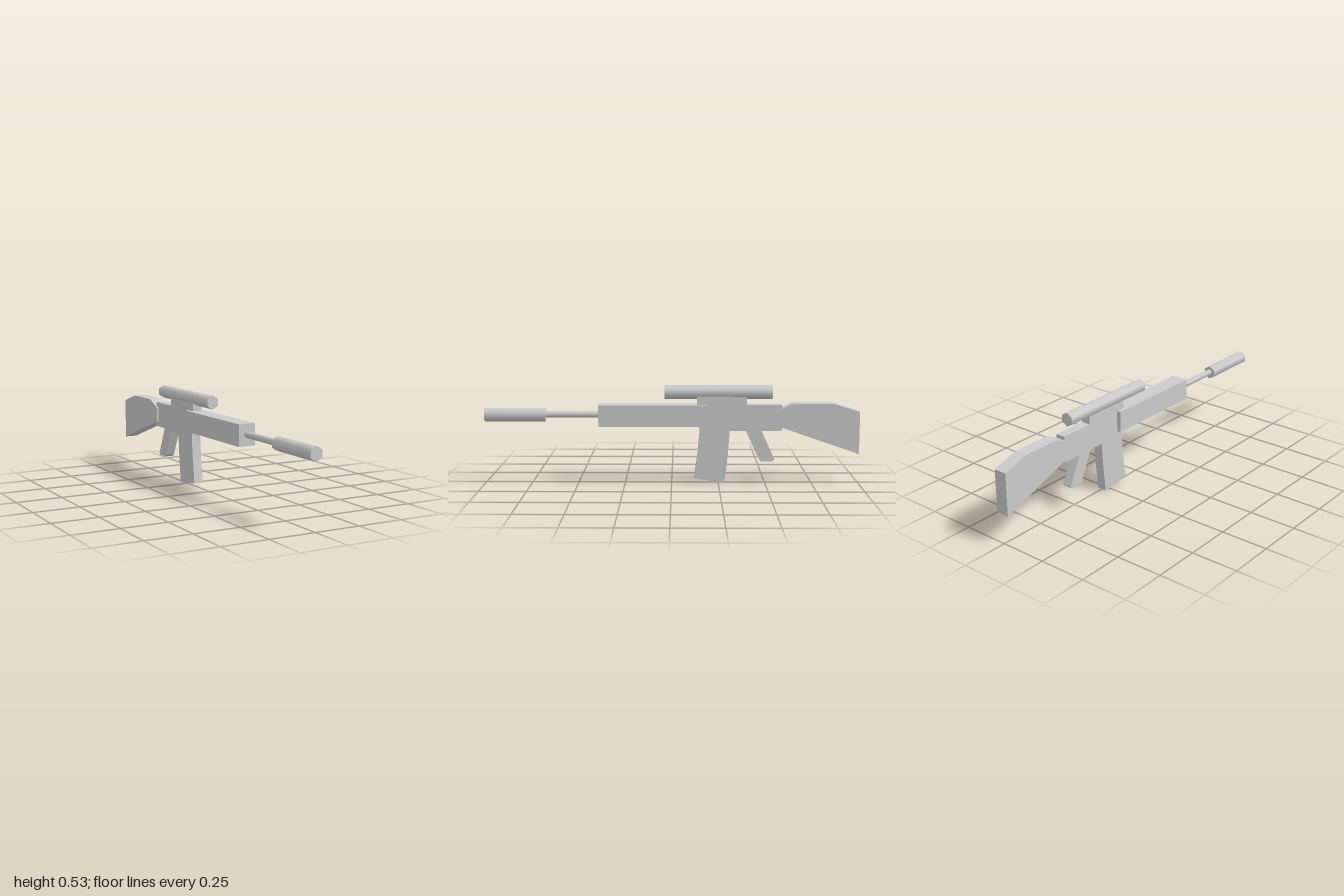
import * as THREE from 'three';

export function createModel() {
  const group = new THREE.Group();
  group.name = 'rifle';
  const grey = new THREE.MeshStandardMaterial({ color: 0xcccccc });
  grey.name = 'light grey';

  function add(name, geometry) {
    const mesh = new THREE.Mesh(geometry, grey);
    mesh.name = name;
    group.add(mesh);
    return mesh;
  }

  // Side profile of [z, y] points, given a width across x
  function slab(name, width, points) {
    const shape = new THREE.Shape(points.map(([z, y]) => new THREE.Vector2(z, y)));
    const geometry = new THREE.ExtrudeGeometry(shape, { depth: width, bevelEnabled: false });
    geometry.translate(0, 0, -width / 2).rotateY(-Math.PI / 2);
    return add(name, geometry);
  }

  // Box spanning z0..z1 and y0..y1
  function block(name, width, z0, z1, y0, y1) {
    const geometry = new THREE.BoxGeometry(width, y1 - y0, z1 - z0);
    geometry.translate(0, (y0 + y1) / 2, (z0 + z1) / 2);
    return add(name, geometry);
  }

  // Six-sided tube along z, with smooth sides
  function hexTube(name, radius, y, z0, z1) {
    const geometry = new THREE.CylinderGeometry(radius, radius, z1 - z0, 6);
    geometry.rotateX(Math.PI / 2).translate(0, y, (z0 + z1) / 2);
    return add(name, geometry);
  }

  // Barrel, muzzle and handguard
  hexTube('suppressor', 0.037, 0.368, 0.675, 1);
  hexTube('barrel', 0.018, 0.37, 0.37, 0.69);
  block('handguard', 0.094, -0.185, 0.39, 0.31, 0.425);

  // Receiver with the sight on top
  block('receiver', 0.052, -0.587, -0.15, 0.284, 0.425);
  block('sightMount', 0.052, -0.4, -0.135, 0.42, 0.475);
  hexTube('sight', 0.037, 0.491, -0.537, 0.038);

  // Curved magazine
  slab('magazine', 0.052, [
    [-0.15, 0.285], [-0.31, 0.285], [-0.3, 0.15],
    [-0.283, 0.002], [-0.121, 0.028], [-0.14, 0.165],
  ]);

  // Slanted grip
  slab('grip', 0.052, [
    [-0.396, 0.285], [-0.48, 0.285], [-0.55, 0.132],
    [-0.54, 0.12], [-0.476, 0.12], [-0.465, 0.135],
  ]);

  // Shoulder stock
  slab('stock', 0.07, [
    [-0.56, 0.313], [-0.56, 0.393], [-0.65, 0.433],
    [-0.86, 0.433], [-1, 0.39], [-1, 0.162],
  ]);

  return group;
}
